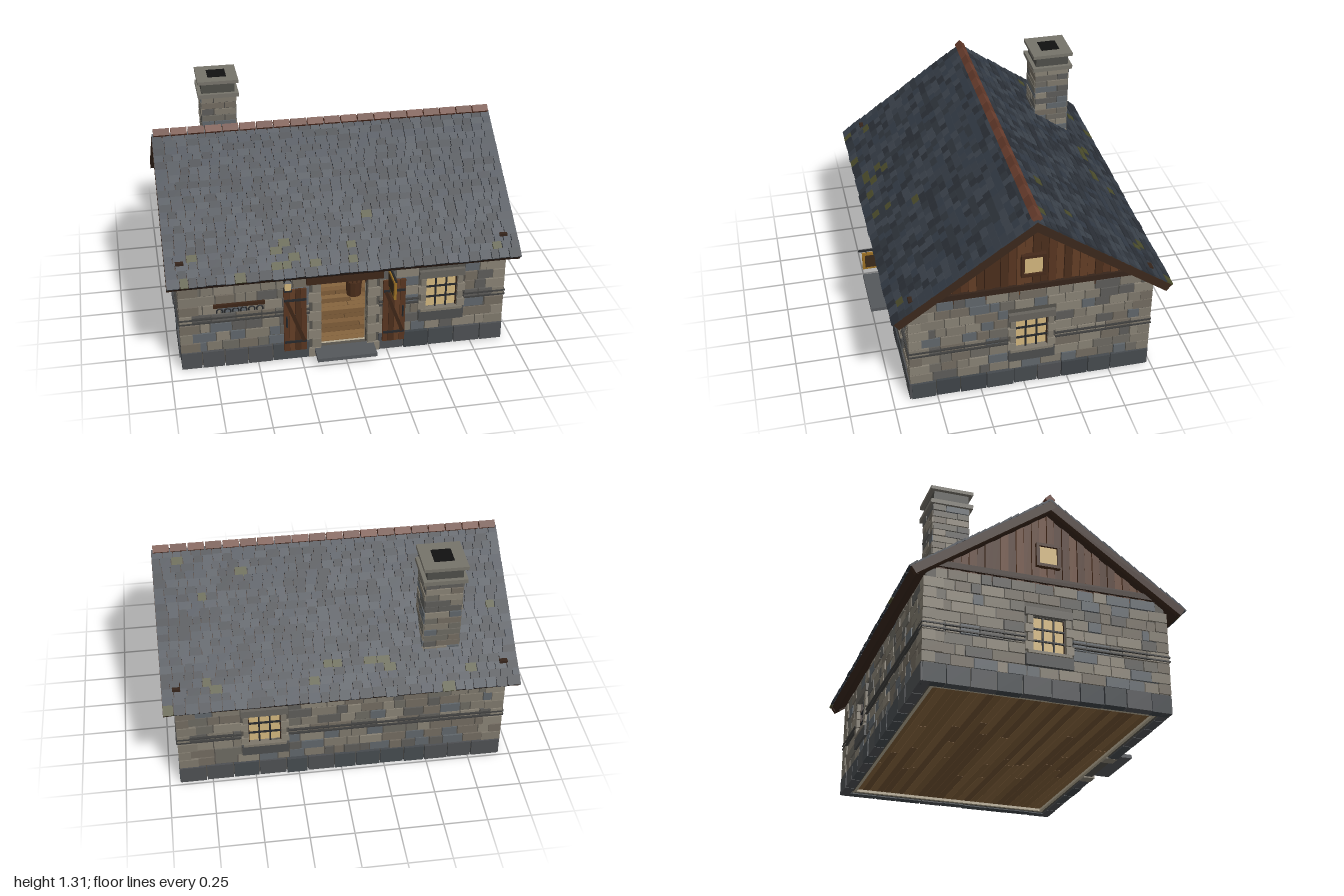
import * as THREE from 'three';
import { mergeGeometries } from 'three/addons/utils/BufferGeometryUtils.js';

const STONE = [0x7d776b, 0x6b6860, 0x5f656a, 0x878073, 0x716a5f, 0x5c5b58];
const PLINTH = [0x454a4e, 0x3e4347, 0x4d4f52];
const SLATE = [0x363d46, 0x2f353d, 0x3c434c, 0x333b46, 0x2b3037];
const WOOD = [0x573520, 0x4a2d1b, 0x623d25];
const IRON = 0x26282b, DARKWOOD = 0x35241a, GLOW = 0xd0b47c, MOSS = 0x4c4d2c;

let seed = 7;
const rnd = () => (seed = (seed * 16807) % 2147483647) / 2147483647;
const pick = list => list[Math.floor(rnd() * list.length)];

// Collects pieces by colour and merges each colour into one mesh
function builder(parent, name) {
  const group = new THREE.Group(), buckets = new Map();
  group.name = name;
  parent.add(group);
  const add = (color, geo, pos = [0, 0, 0], rot = [0, 0, 0]) => {
    const g = geo.index ? geo.toNonIndexed() : geo;
    g.applyMatrix4(new THREE.Matrix4().makeRotationFromEuler(new THREE.Euler(...rot)).setPosition(...pos));
    if (!buckets.has(color)) buckets.set(color, []);
    buckets.get(color).push(g);
  };
  const box = (color, size, pos, rot) => add(color, new THREE.BoxGeometry(...size), pos, rot);
  const done = () => {
    for (const [color, geos] of buckets) {
      const mesh = new THREE.Mesh(mergeGeometries(geos), new THREE.MeshStandardMaterial({ color, flatShading: true }));
      mesh.name = name;
      group.add(mesh);
    }
    return group;
  };
  return { group, add, box, done };
}

// Free stretches of a wall row between openings
function spans(x0, x1, y0, y1, holes) {
  let out = [[x0, x1]];
  for (const [a, b, c, d] of holes) {
    if (Math.min(y1, d) - Math.max(y0, c) < (y1 - y0) * 0.4) continue;
    out = out.flatMap(([p, q]) => [[p, Math.min(q, a)], [Math.max(p, b), q]]).filter(([p, q]) => q - p > 0.012);
  }
  return out;
}

// One row of blocks with irregular lengths
function blockRow(b, colors, x0, x1, y0, y1, holes, wMin, wMax, z, depth) {
  for (const [p, q] of spans(x0, x1, y0, y1, holes)) {
    let x = p;
    while (x < q - 0.001) {
      let w = wMin + rnd() * (wMax - wMin);
      if (q - x - w < wMin * 0.8) w = q - x;
      b.box(pick(colors), [w - 0.006, y1 - y0 - 0.006, depth], [x + w / 2, (y0 + y1) / 2, z + rnd() * 0.008 - depth / 2]);
      x += w;
    }
  }
}

// Flat slab with rectangular openings
function slab(half, top, holes, depth) {
  const rect = (P, [a, b, c, d]) => new P([[a, c], [b, c], [b, d], [a, d]].map(v => new THREE.Vector2(...v)));
  const shape = rect(THREE.Shape, [-half, half, 0.01, top]);
  shape.holes = holes.map(h => rect(THREE.Path, h));
  return new THREE.ExtrudeGeometry(shape, { depth, bevelEnabled: false });
}

// Leaded window with stone surround
function addWindow(b, x) {
  const y0 = 0.255, y1 = 0.46, w = 0.185, mid = (y0 + y1) / 2, h = y1 - y0;
  b.box(GLOW, [w, h, 0.012], [x, mid, -0.025]);
  b.box(0x65625c, [0.265, 0.045, 0.045], [x, y1 + 0.024, -0.004]);
  b.box(0x4b4c4c, [0.265, 0.065, 0.04], [x, 0.205, -0.004]);
  b.box(0x7d776b, [0.245, 0.016, 0.055], [x, 0.247, -0.006]);
  for (const s of [-1, 1]) {
    for (let i = 0; i < 4; i++) {
      const jw = i % 2 ? 0.03 : 0.044;
      b.box(STONE[i % 2 ? 0 : 3], [jw, h / 4 - 0.005, 0.05], [x + s * (w / 2 + jw / 2), y0 + h * (i + 0.5) / 4, -0.008]);
    }
    b.box(DARKWOOD, [0.01, h, 0.02], [x + s * w / 2, mid, -0.015]);
    b.box(IRON, [0.009, h, 0.009], [x + s * w / 6, mid, -0.01]);
    b.box(IRON, [w, 0.009, 0.009], [x, mid + s * h / 6, -0.008]);
  }
}

// Stone wall: x along the wall, z outward
function makeWall(parent, name, length, pos, turn, windows, door) {
  const b = builder(parent, name), half = length / 2;
  b.group.position.set(...pos);
  b.group.rotation.y = turn;
  const open = windows.map(x => [x - 0.0925, x + 0.0925, 0.255, 0.46]);
  const skip = windows.map(x => [x - 0.134, x + 0.134, 0.17, 0.507]);
  if (door) { open.push([-0.135, 0.135, 0.04, 0.5]); skip.push([-0.2, 0.2, 0, 0.55]); }
  b.add(0x55524c, slab(half - 0.008, 0.65, open, 0.05), [0, 0, -0.055]);
  b.add(0xb5aa93, slab(half - 0.05, 0.62, open, 0.018), [0, 0, -0.073]);
  blockRow(b, PLINTH, -half, half, 0, 0.11, skip, 0.12, 0.16, 0.008, 0.055);
  for (let i = 0; i < 9; i++)
    blockRow(b, STONE, -half + 0.06, half - 0.06, 0.11 + i * 0.061, 0.171 + i * 0.061, skip, 0.055, 0.15, 0, 0.03);
  for (const y of [0.306, 0.331])
    for (const [p, q] of spans(-half - 0.004, half + 0.004, y - 0.004, y + 0.004, skip))
      b.box(0x3f3f3e, [q - p, 0.008, 0.022], [(p + q) / 2, y, 0.005]);
  windows.forEach(x => addWindow(b, x));
  return b.done();
}

// Boarded gable with tie beam and small window
function makeGable(parent, s) {
  const b = builder(parent, 'gable'), n = 30, top = x => 1.105 - 0.7 * Math.abs(x);
  b.group.position.set(s * 0.9, 0, -0.04);
  b.group.rotation.y = s * Math.PI / 2;
  for (let i = 0; i < n; i++) {
    const x0 = -0.66 + 1.32 * i / n, x1 = x0 + 1.32 / n - 0.003;
    const plank = new THREE.Shape([[x0, 0.63], [x1, 0.63], [x1, top(x1)], [x0, top(x0)]].map(v => new THREE.Vector2(...v)));
    b.add(pick(WOOD), new THREE.ExtrudeGeometry(plank, { depth: 0.02 + (i % 2) * 0.006, bevelEnabled: false }));
  }
  b.box(DARKWOOD, [1.36, 0.035, 0.045], [0, 0.682, 0.015]);
  b.box(GLOW, [0.11, 0.12, 0.012], [0, 0.832, 0.03]);
  for (const k of [-1, 1]) {
    b.box(0x452a1a, [0.018, 0.14, 0.03], [k * 0.06, 0.832, 0.032]);
    b.box(0x452a1a, [0.138, 0.018, 0.032], [0, 0.832 + k * 0.062, 0.032]);
  }
  b.done();
}

// Roof slope: local z runs down from the ridge
function makeSlope(parent, turn) {
  const b = builder(parent, 'roofSlope'), len = 0.945, rows = 21, step = len / rows;
  b.group.position.set(0, 1.15, -0.04);
  b.group.rotation.set(0.611, turn, 0, 'YXZ');
  b.box(DARKWOOD, [1.96, 0.032, len - 0.01], [0, -0.032, len / 2 - 0.005]);
  for (const s of [-1, 1]) b.box(0x3a271b, [0.03, 0.048, len], [s * 0.982, -0.026, len / 2]);
  b.box(0x33231a, [1.96, 0.045, 0.02], [0, -0.028, len - 0.012]);
  for (let r = 0; r < rows; r++) {
    let x = -0.997;
    while (x < 0.996) {
      let w = 0.045 + rnd() * 0.03;
      if (0.997 - x - w < 0.035) w = 0.997 - x;
      const mossy = rnd() < (r > 15 ? 0.06 : 0.004);
      b.box(mossy ? MOSS : pick(SLATE), [w - 0.004, 0.011, step * 1.25], [x + w / 2, 0.001 + rnd() * 0.004, (r + 0.5) * step + rnd() * 0.006], [0.1, 0, 0]);
      x += w;
    }
  }
  b.done();
}

function makeChimney(parent) {
  const b = builder(parent, 'chimney');
  b.group.position.set(-0.573, 0, -0.513);
  b.box(0x4b4945, [0.195, 0.56, 0.195], [0, 0.92, 0]);
  for (let r = 0; r < 13; r++)
    for (let k = 0; k < 4; k++) {
      const side = k * Math.PI / 2, cut = r % 2 ? 0.035 : -0.03;
      for (const [p, q] of [[-0.104, cut], [cut, 0.104]]) {
        const v = new THREE.Vector3((p + q) / 2, 0.704 + r * 0.04, 0.094 + rnd() * 0.005).applyAxisAngle(new THREE.Vector3(0, 1, 0), side);
        b.box(pick(STONE), [q - p - 0.005, 0.035, 0.02], v.toArray(), [0, side, 0]);
      }
    }
  b.box(0x76736a, [0.245, 0.025, 0.245], [0, 1.214, 0]);
  b.box(0x4d4d48, [0.2, 0.07, 0.2], [0, 1.26, 0]);
  b.box(0x76736a, [0.245, 0.02, 0.245], [0, 1.3, 0]);
  b.box(0x111111, [0.112, 0.006, 0.112], [0, 1.31, 0]);
  b.done();
}

// Door surround, open leaves and step
function makeDoorway(parent) {
  const b = builder(parent, 'doorway');
  b.group.position.z = 0.64;
  for (const s of [-1, 1]) {
    for (let i = 0; i < 8; i++) {
      const w = i % 2 ? 0.05 : 0.072;
      b.box(STONE[i % 2 ? 0 : 3], [w, 0.056, 0.07], [s * (0.135 + w / 2), 0.03 + i * 0.062, -0.023]);
    }
    for (let i = 0; i < 4; i++) b.box(WOOD[i % 3], [0.031, 0.41, 0.014], [s * (0.236 + i * 0.033), 0.272, 0.018]);
    for (const y of [0.13, 0.41]) b.box(IRON, [0.125, 0.014, 0.006], [s * 0.285, y, 0.028]);
    b.box(0x3c2517, [0.02, 0.29, 0.007], [s * 0.285, 0.27, 0.028], [0, 0, 0.35]);
    b.box(IRON, [0.008, 0.07, 0.012], [s * 0.335, 0.27, 0.032]);
  }
  b.box(0x3d2618, [0.44, 0.055, 0.08], [0, 0.525, -0.015]);
  for (let i = 0; i < 5; i++) b.add(0x4a2d1b, new THREE.ConeGeometry(0.01, 0.03 + rnd() * 0.03, 5), [0.02 + i * 0.025, 0.485, 0.01], [Math.PI, 0, 0]);
  b.box(0x54575b, [0.345, 0.022, 0.125], [0, 0.046, 0.057]);
  b.done();
}

// Hanging sign, lantern and horseshoe rack
function makeFittings(parent) {
  const sign = builder(parent, 'hangingSign');
  sign.box(IRON, [0.01, 0.01, 0.18], [0.257, 0.563, 0.73]);
  sign.box(IRON, [0.008, 0.008, 0.08], [0.257, 0.585, 0.675], [0.6, 0, 0]);
  for (const z of [0.675, 0.775]) sign.box(IRON, [0.005, 0.025, 0.005], [0.257, 0.55, z]);
  sign.box(0x9a6f24, [0.014, 0.11, 0.15], [0.257, 0.49, 0.725]);
  sign.box(0x3a2a1a, [0.019, 0.082, 0.12], [0.257, 0.49, 0.725]);
  sign.done();
  const lamp = builder(parent, 'lantern');
  lamp.box(IRON, [0.01, 0.01, 0.05], [-0.33, 0.575, 0.665]);
  lamp.box(GLOW, [0.034, 0.05, 0.034], [-0.33, 0.52, 0.68]);
  lamp.box(IRON, [0.044, 0.008, 0.044], [-0.33, 0.492, 0.68]);
  lamp.add(IRON, new THREE.ConeGeometry(0.032, 0.025, 4), [-0.33, 0.557, 0.68], [0, Math.PI / 4, 0]);
  lamp.done();
  const rack = builder(parent, 'horseshoeRack');
  rack.box(0x3c2517, [0.29, 0.02, 0.016], [-0.6, 0.412, 0.656]);
  for (let i = 0; i < 6; i++) rack.add(IRON, new THREE.TorusGeometry(0.017, 0.0045, 5, 12, 4.2), [-0.71 + i * 0.045, 0.378, 0.66], [0, 0, -0.53]);
  rack.done();
}

// Plank floor and the anvil and bucket inside
function makeInterior(parent) {
  const floor = builder(parent, 'floor');
  for (let i = 0; i < 28; i++) {
    const z = -0.65 + (i + 0.5) * 1.22 / 28, cut = rnd() * 0.9 - 0.45;
    for (const [p, q] of [[-0.86, cut], [cut, 0.86]])
      floor.box(pick([0x7d5c38, 0x6f5131, 0x86643e]), [q - p - 0.003, 0.018, 0.041], [(p + q) / 2, 0.034, z]);
  }
  floor.box(0x3a2a1b, [1.72, 0.008, 1.23], [0, 0.034, -0.04]);
  floor.done();
  const anvil = builder(parent, 'anvil');
  anvil.add(0x4a2d1b, new THREE.CylinderGeometry(0.05, 0.055, 0.11, 10), [-0.21, 0.098, 0.1]);
  anvil.box(IRON, [0.06, 0.04, 0.05], [-0.21, 0.17, 0.1]);
  anvil.box(IRON, [0.13, 0.03, 0.06], [-0.21, 0.2, 0.1]);
  anvil.add(IRON, new THREE.ConeGeometry(0.02, 0.07, 8), [-0.112, 0.2, 0.1], [0, 0, -Math.PI / 2]);
  anvil.done();
  const tools = builder(parent, 'toolBarrel');
  tools.add(0x4a2d1b, new THREE.CylinderGeometry(0.05, 0.045, 0.1, 10), [0.165, 0.093, 0.1]);
  tools.box(IRON, [0.01, 0.12, 0.01], [0.14, 0.15, 0.1], [0, 0, 0.15]);
  tools.done();
}

export function createModel() {
  seed = 7;
  const model = new THREE.Group();
  model.name = 'stoneCottage';
  makeWall(model, 'frontWall', 1.876, [0, 0, 0.64], 0, [0.565], true);
  makeWall(model, 'backWall', 1.876, [0, 0, -0.718], Math.PI, [-0.44], false);
  for (const s of [-1, 1]) {
    makeWall(model, 'sideWall', 1.37, [s * 0.927, 0, -0.04], s * Math.PI / 2, [0], false);
    makeGable(model, s);
    makeSlope(model, s > 0 ? 0 : Math.PI);
  }
  // Corner stones, alternating long and short
  const quoins = builder(model, 'cornerStones');
  for (const sx of [-1, 1]) for (const sz of [-1, 1]) for (let i = 0; i < 9; i++) {
    const w = i % 2 ? 0.07 : 0.11, d = i % 2 ? 0.11 : 0.07;
    if (i < 8) quoins.box(pick([0x878073, 0x7d776b, 0x716a5f]), [w, 0.055, d], [sx * (0.936 - w / 2), 0.141 + i * 0.061, -0.04 + sz * (0.69 - d / 2)]);
  }
  quoins.done();
  // Ridge tiles
  const ridge = builder(model, 'ridgeTiles');
  for (let i = 0; i < 20; i++) ridge.box(i % 2 ? 0x6b3f2f : 0x613829, [0.092, 0.042, 0.042], [-0.94 + i * 0.099, 1.165, -0.04], [Math.PI / 4, 0, 0]);
  ridge.done();
  makeChimney(model);
  makeDoorway(model);
  makeFittings(model);
  makeInterior(model);
  return model;
}
